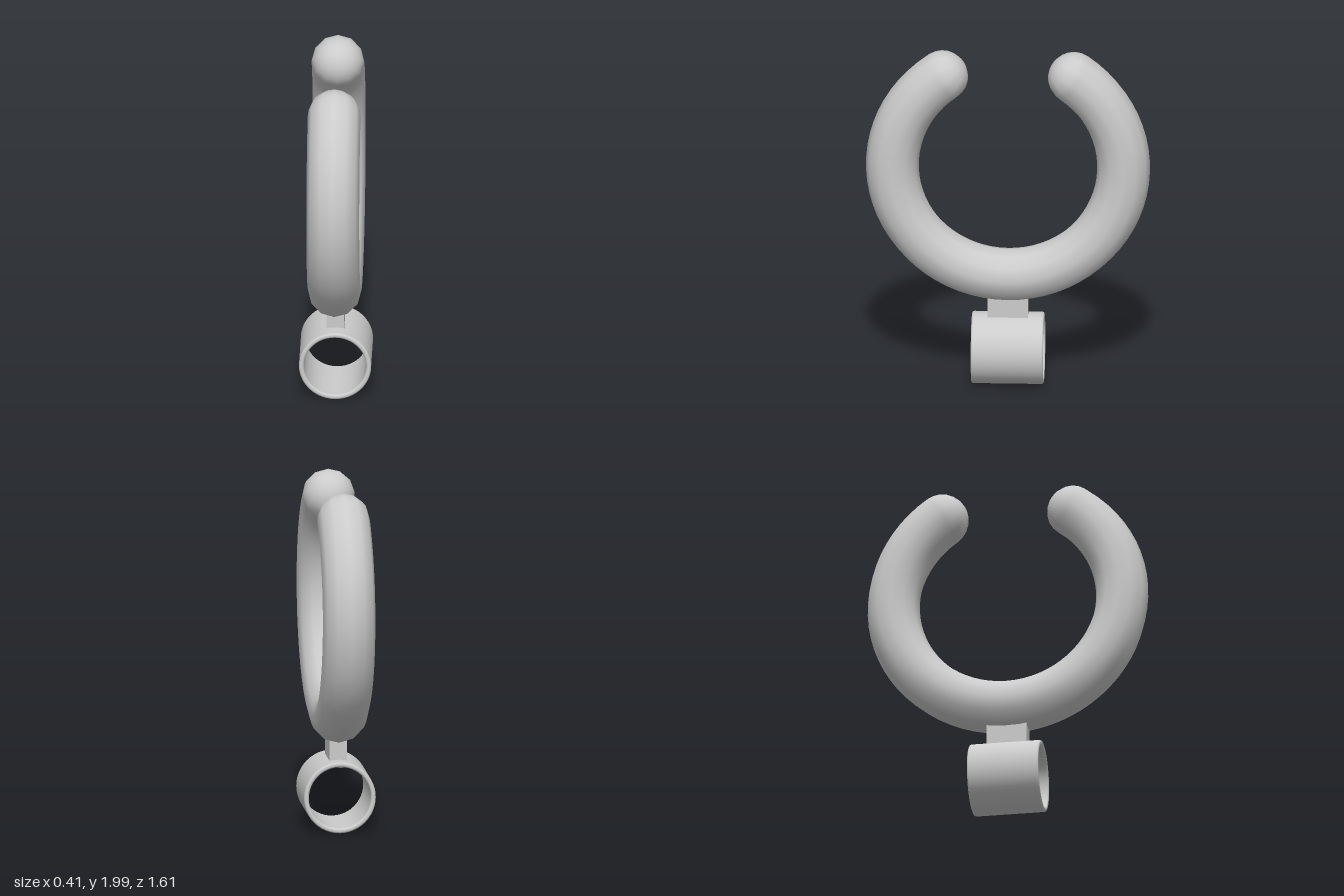
import * as THREE from 'three';

const RING_Y = 1.306, RING_R = 0.656, TUBE_R = 0.15;
const GAP = THREE.MathUtils.degToRad(35); // half of the opening at the top

export function createModel() {
  const model = new THREE.Group();
  const material = new THREE.MeshStandardMaterial({ color: 0xcccccc });
  const add = (parent, name, geometry) => {
    const mesh = new THREE.Mesh(geometry, material);
    mesh.name = name;
    parent.add(mesh);
    return mesh;
  };

  // Open ring, drawn in the xy plane and then turned to face sideways
  const ring = new THREE.Group();
  ring.name = 'openRing';
  ring.position.y = RING_Y;
  ring.rotation.y = Math.PI / 2;
  model.add(ring);
  const arc = new THREE.TorusGeometry(RING_R, TUBE_R, 12, 56, 2 * (Math.PI - GAP));
  add(ring, 'ringTube', arc.rotateZ(Math.PI / 2 + GAP));

  // Rounded ends, with their poles along the tube
  for (const side of [-1, 1]) {
    const dome = new THREE.SphereGeometry(TUBE_R, 12, 6, 0, Math.PI * 2, 0, Math.PI / 2);
    const end = add(ring, side < 0 ? 'frontRingEnd' : 'backRingEnd', dome);
    end.position.set(side * RING_R * Math.sin(GAP), RING_R * Math.cos(GAP), 0);
    end.rotation.z = side * (Math.PI / 2 - GAP);
  }

  // Neck between ring and collar, its foot reaching through the collar wall
  add(model, 'neck', new THREE.BoxGeometry(0.1, 0.19, 0.23)).position.y = 0.46;

  // Hollow collar with softly rounded rims, lathed around the z axis
  const outer = 0.205, inner = 0.177, half = 0.205, bevel = 0.012;
  const section = new THREE.Shape();
  section.moveTo(inner, -half + bevel);
  section.absarc(inner + bevel, -half + bevel, bevel, Math.PI, Math.PI * 1.5);
  section.absarc(outer - bevel, -half + bevel, bevel, Math.PI * 1.5, Math.PI * 2);
  section.absarc(outer - bevel, half - bevel, bevel, 0, Math.PI / 2);
  section.absarc(inner + bevel, half - bevel, bevel, Math.PI / 2, Math.PI);
  section.closePath();
  const collar = new THREE.LatheGeometry(section.getPoints(4), 48);
  add(model, 'collar', collar.rotateX(Math.PI / 2)).position.y = outer;

  return model;
}
